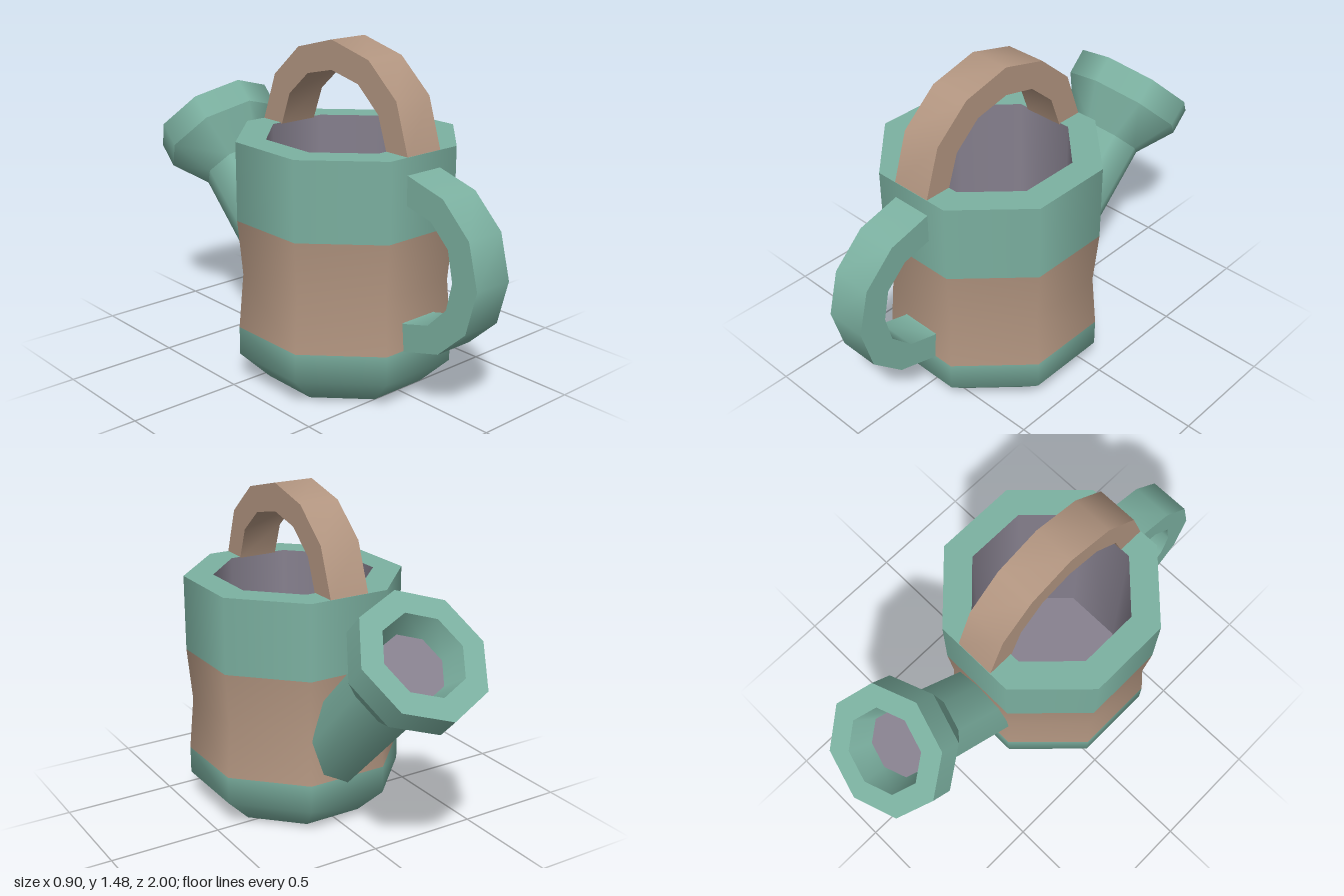
import * as THREE from 'three';
import { toCreasedNormals } from 'three/addons/utils/BufferGeometryUtils.js';

const mat = (name, color, side = THREE.FrontSide) => {
  const m = new THREE.MeshStandardMaterial({ color, side });
  m.name = name;
  return m;
};

export function createModel() {
  const green = mat('green', 0x7cb1a1);
  const clay = mat('clay brown', 0xb39681);
  const mauve = mat('mauve inside', 0x87818f);
  const model = new THREE.Group();
  model.name = 'wateringCan';

  const add = (parent, name, geometry, material) => {
    const mesh = new THREE.Mesh(geometry, material);
    mesh.name = name;
    parent.add(mesh);
    return mesh;
  };
  // Eight-sided turned surface from [radius, height] pairs
  const turned = (pts, scale = 1, start = 0) =>
    new THREE.LatheGeometry(pts.map(([r, y]) => new THREE.Vector2(r * scale, y)), 8, start);

  // Body: radii are measured to the flats, which face the four sides
  const body = new THREE.Group();
  body.name = 'body';
  body.position.z = 0.17;
  model.add(body);
  const bodyPart = (name, pts, material) =>
    add(body, name, turned(pts, 1 / Math.cos(Math.PI / 8), Math.PI / 8), material);
  bodyPart('base', [[0, 0], [0.33, 0], [0.45, 0.125], [0.45, 0.25]], green);
  bodyPart('waistBand', [[0.45, 0.25], [0.43, 0.49], [0.45, 0.73]], clay);
  bodyPart('upperBand', [[0.45, 0.73], [0.45, 1.07]], green);
  bodyPart('rim', [[0.45, 1.07], [0.33, 1.07]], green);
  bodyPart('innerWall', [[0.33, 1.07], [0.33, 0.13]], mauve);
  bodyPart('innerFloor', [[0.33, 0.13], [0, 0.13]], mauve);

  // Handles: flat arches given by outer and inner outlines as [z, y]
  const handle = (name, outer, inner, material) => {
    const shape = new THREE.Shape([...outer, ...inner.reverse()].map(([z, y]) => new THREE.Vector2(z, y)));
    const width = 0.184;
    const geo = new THREE.ExtrudeGeometry(shape, { depth: width, bevelEnabled: false });
    geo.translate(0, 0, -width / 2).rotateY(-Math.PI / 2);
    add(model, name, toCreasedNormals(geo, 0.8), material);
  };
  handle('topHandle',
    [[0.62, 1.065], [0.55, 1.28], [0.39, 1.42], [0.17, 1.475], [-0.04, 1.42], [-0.2, 1.28], [-0.28, 1.065]],
    [[0.5, 1.065], [0.45, 1.21], [0.33, 1.315], [0.17, 1.35], [0.02, 1.315], [-0.1, 1.21], [-0.155, 1.065]],
    clay);
  handle('sideHandle',
    [[0.605, 1], [0.62, 0.997], [0.81, 0.945], [0.95, 0.81], [1, 0.62], [0.95, 0.43], [0.81, 0.3], [0.62, 0.247], [0.605, 0.247]],
    [[0.605, 0.873], [0.62, 0.873], [0.75, 0.84], [0.845, 0.75], [0.873, 0.62], [0.845, 0.5], [0.75, 0.405], [0.62, 0.37], [0.605, 0.37]],
    green);

  // Spout: heights run along the sloping axis, zero where the tube meets the rose
  const spout = new THREE.Group();
  spout.name = 'spout';
  model.add(spout);
  const spoutPart = (name, pts, material) => {
    const geo = turned(pts).rotateX(-Math.PI / 4).translate(0, 0.775, -0.59);
    return add(spout, name, geo, material);
  };
  const tube = spoutPart('spoutTube', [[0.172, -0.65], [0.175, 0]], green);
  // Slide the tube's lower end along its axis so it stops inside the body wall
  const pos = tube.geometry.attributes.position;
  for (let i = 0; i < pos.count; i++) {
    const extra = pos.getZ(i) + 0.22;
    if (extra > 0) pos.setXYZ(i, pos.getX(i), pos.getY(i) + extra, -0.22);
  }
  spoutPart('roseCone', [[0.175, 0], [0.287, 0.168]], green);
  spoutPart('roseCollar', [[0.287, 0.168], [0.287, 0.288]], green);
  spoutPart('roseRim', [[0.287, 0.288], [0.185, 0.288]], green);
  spoutPart('roseInnerWall', [[0.185, 0.288], [0.148, 0.178]], green);
  spoutPart('roseFloor', [[0.148, 0.178], [0, 0.178]], mauve);

  return model;
}
